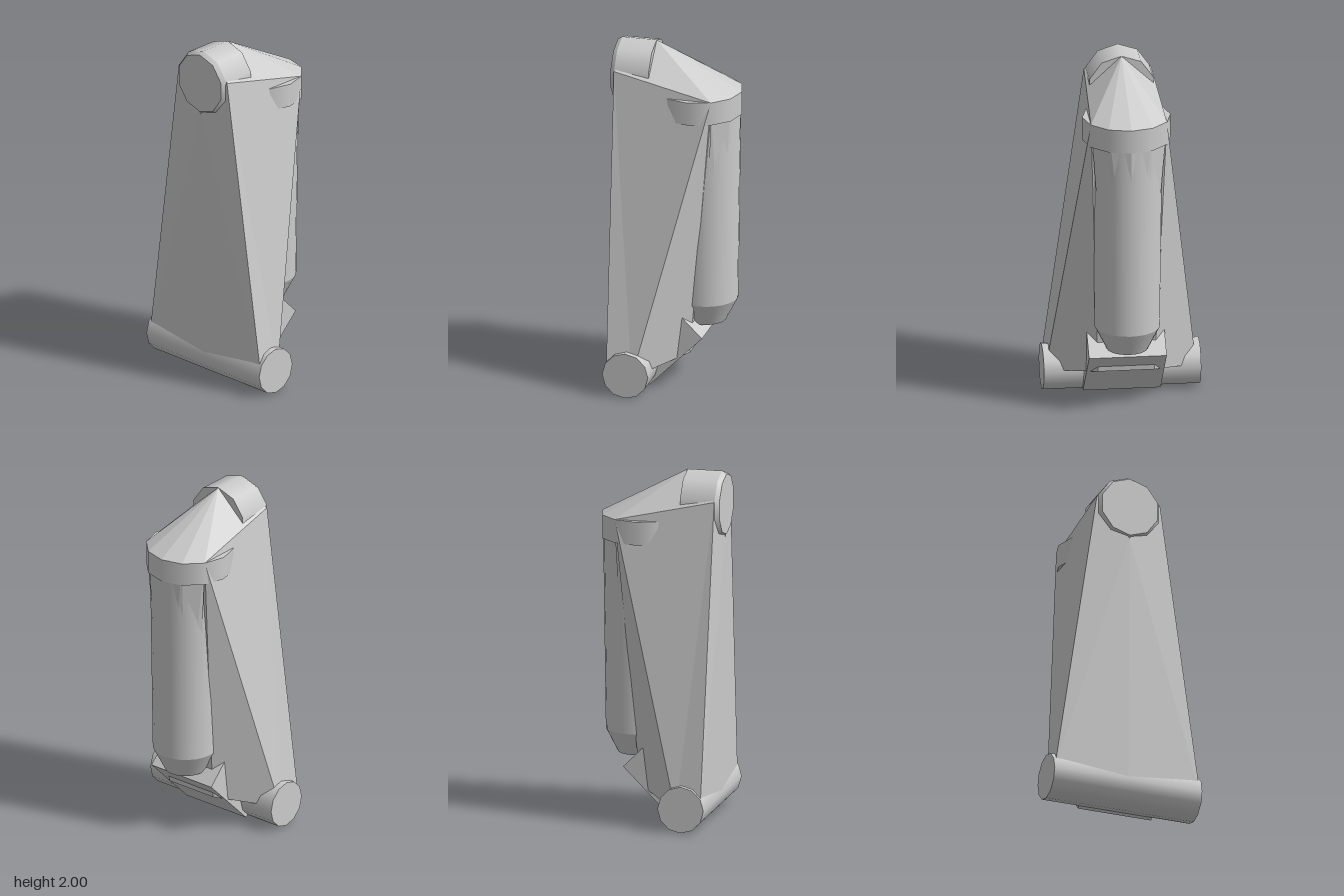
import * as THREE from 'three';

const grey = new THREE.MeshStandardMaterial({ color: 0xcccccc });

// Flat-faced shell from triangles or quads on the +x half, mirrored to -x
function mirroredShell(faces) {
  const pos = [];
  for (const f of faces) {
    for (let i = 1; i < f.length - 1; i++) {
      const tri = [f[0], f[i], f[i + 1]];
      for (const p of tri) pos.push(...p);
      for (const p of tri.reverse()) pos.push(-p[0], p[1], p[2]);
    }
  }
  const g = new THREE.BufferGeometry();
  g.setAttribute('position', new THREE.Float32BufferAttribute(pos, 3));
  g.computeVertexNormals();
  return g;
}

export function createModel() {
  const model = new THREE.Group();
  const add = (name, geometry, x = 0, y = 0, z = 0) => {
    const mesh = new THREE.Mesh(geometry, grey);
    mesh.name = name;
    mesh.position.set(x, y, z);
    model.add(mesh);
    return mesh;
  };

  // Corners of the tapered housing
  const frontTop = [0.19, 1.86, 0.335], backTop = [0.215, 1.735, -0.235];
  const backLow = [0.427, 0.12, 0.17], frontLow = [0.44, 0.12, 0.315];
  const ridgeTop = [0, 1.62, 0.352], ridgeLow = [0, 0.12, 0.33];
  const peak = [0, 2, 0.135];
  const arcMid = [0.125, 1.735, -0.3265], arcBack = [0, 1.735, -0.36];
  const innerLow = [0.16, 0.2, -0.1], centreLow = [0, 0.2, -0.1];
  const centreTop = [0, 1.735, -0.235];

  add('housing', mirroredShell([
    [frontTop, frontLow, backLow, backTop],
    [frontTop, ridgeTop, frontLow],
    [ridgeTop, ridgeLow, frontLow],
    [ridgeTop, frontTop, peak],
    [backTop, backLow, innerLow],
    [backTop, innerLow, centreTop],
    [centreTop, innerLow, centreLow],
    [frontLow, ridgeLow, centreLow],
    [frontLow, centreLow, innerLow],
    [frontLow, innerLow, backLow],
  ]));

  // Faceted roof sloping down to the rear collar
  add('roof', mirroredShell([
    [peak, frontTop, backTop],
    [peak, backTop, arcMid],
    [peak, arcMid, arcBack],
  ]));

  // Slim ribs that sink into the rear cylinder
  const sideIn = [0.13, 0.6, -0.19], midIn = [0.09, 0.6, -0.26], backIn = [0, 0.6, -0.31];
  add('rearRibs', mirroredShell([
    [backTop, sideIn, midIn], [backTop, midIn, arcMid],
    [arcMid, midIn, backIn], [arcMid, backIn, arcBack],
  ]));

  // Rear collar and the cylinder hanging from it
  add('rearCollar', new THREE.CylinderGeometry(0.25, 0.25, 0.135, 12), 0, 1.6675, -0.11);
  add('rearCylinder', new THREE.CylinderGeometry(0.2, 0.184, 1.2, 24), 0, 1.09, -0.15);
  add('cylinderTip', new THREE.CylinderGeometry(0.184, 0.115, 0.135, 24), 0, 0.4225, -0.15);

  // Upper pivot with a chamfered front rim
  add('topPivot', new THREE.CylinderGeometry(0.19, 0.19, 0.2, 10), 0, 1.81, 0.235)
    .rotation.x = Math.PI / 2;
  add('topPivotRim', new THREE.CylinderGeometry(0.174, 0.19, 0.025, 10), 0, 1.81, 0.3475)
    .rotation.x = Math.PI / 2;

  // Lower roller and angled bracket
  add('bottomRoller', new THREE.CylinderGeometry(0.133, 0.133, 0.89, 12), 0, 0.133, 0.203)
    .rotation.z = Math.PI / 2;
  add('bracket', new THREE.BoxGeometry(0.44, 0.17, 0.43), 0, 0.22, 0.027)
    .rotation.x = Math.PI / 4;

  return model;
}
